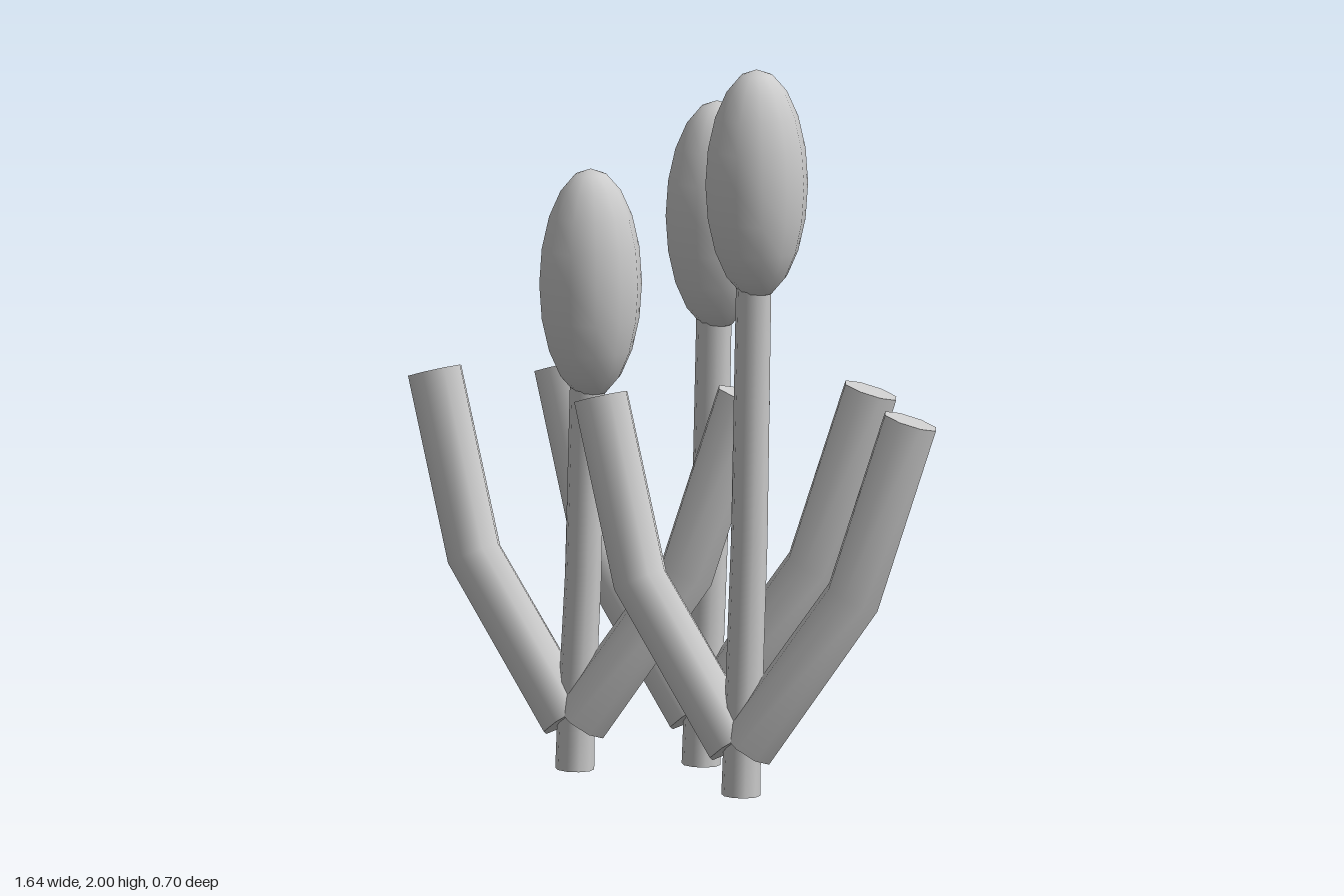
import * as THREE from 'three';

const paleGrey = new THREE.MeshStandardMaterial({ color: 0xcccccc });
paleGrey.name = 'pale grey';

// Bends a capped cylinder along a short polyline, one ring per point.
function bentRod(points, r0, r1, sides) {
  const pts = points.map((p) => new THREE.Vector3(...p));
  const n = pts.length - 1;
  const geo = new THREE.CylinderGeometry(1, 1, 1, sides, n);
  const frames = pts.map((p, i) => {
    const dir = new THREE.Vector3();
    if (i > 0) dir.add(p.clone().sub(pts[i - 1]).normalize());
    if (i < n) dir.add(pts[i + 1].clone().sub(p).normalize());
    dir.normalize();
    const side = new THREE.Vector3().crossVectors(dir, new THREE.Vector3(0, 0, 1)).normalize();
    const front = new THREE.Vector3().crossVectors(side, dir);
    return { side, front };
  });
  const pos = geo.attributes.position;
  for (let k = 0; k < pos.count; k++) {
    const i = Math.round((pos.getY(k) + 0.5) * n);
    const r = r0 + (r1 - r0) * (i / n);
    const v = pts[i].clone()
      .addScaledVector(frames[i].side, pos.getX(k) * r)
      .addScaledVector(frames[i].front, pos.getZ(k) * r);
    pos.setXYZ(k, v.x, v.y, v.z);
  }
  geo.computeVertexNormals();
  // Weld the normals across the cylinder's seam.
  const nor = geo.attributes.normal;
  for (let i = 0; i <= n; i++) {
    const a = i * (sides + 1), b = a + sides;
    const v = new THREE.Vector3().fromBufferAttribute(nor, a)
      .add(new THREE.Vector3().fromBufferAttribute(nor, b)).normalize();
    nor.setXYZ(a, v.x, v.y, v.z);
    nor.setXYZ(b, v.x, v.y, v.z);
  }
  return geo;
}

function addPart(group, name, geo) {
  const mesh = new THREE.Mesh(geo, paleGrey);
  mesh.name = name;
  group.add(mesh);
  return mesh;
}

// One plant: a leaning stem, an oval seed head and two bent leaves.
function makePlant(name, x, z, height) {
  const plant = new THREE.Group();
  plant.name = name;
  const headHalf = 0.315;
  const stemTop = height - 2 * headHalf + 0.04;

  addPart(plant, 'stem', bentRod(
    [[0, 0, 0], [0.004, 0.14, 0], [0.025, stemTop * 0.5, 0], [0.038, stemTop, 0]], 0.053, 0.048, 10));

  const headGeo = new THREE.SphereGeometry(1, 12, 10);
  headGeo.scale(0.14, headHalf, 0.14);
  addPart(plant, 'seedHead', headGeo).position.set(0.047, height - headHalf, 0);

  for (const s of [1, -1]) {
    addPart(plant, s > 0 ? 'leftLeaf' : 'rightLeaf', bentRod(
      [[s * 0.018, 0.135, 0], [s * 0.315, 0.56, -0.04], [s * 0.458, 1.045, -0.1]], 0.08, 0.078, 8));
  }
  plant.position.set(x, 0, z);
  return plant;
}

export function createModel() {
  const model = new THREE.Group();
  model.name = 'plantCluster';
  model.add(
    makePlant('shortPlant', -0.285, 0.03, 1.655),
    makePlant('middlePlant', 0, -0.172, 1.83),
    makePlant('tallPlant', 0.285, 0.21, 2),
  );
  return model;
}
